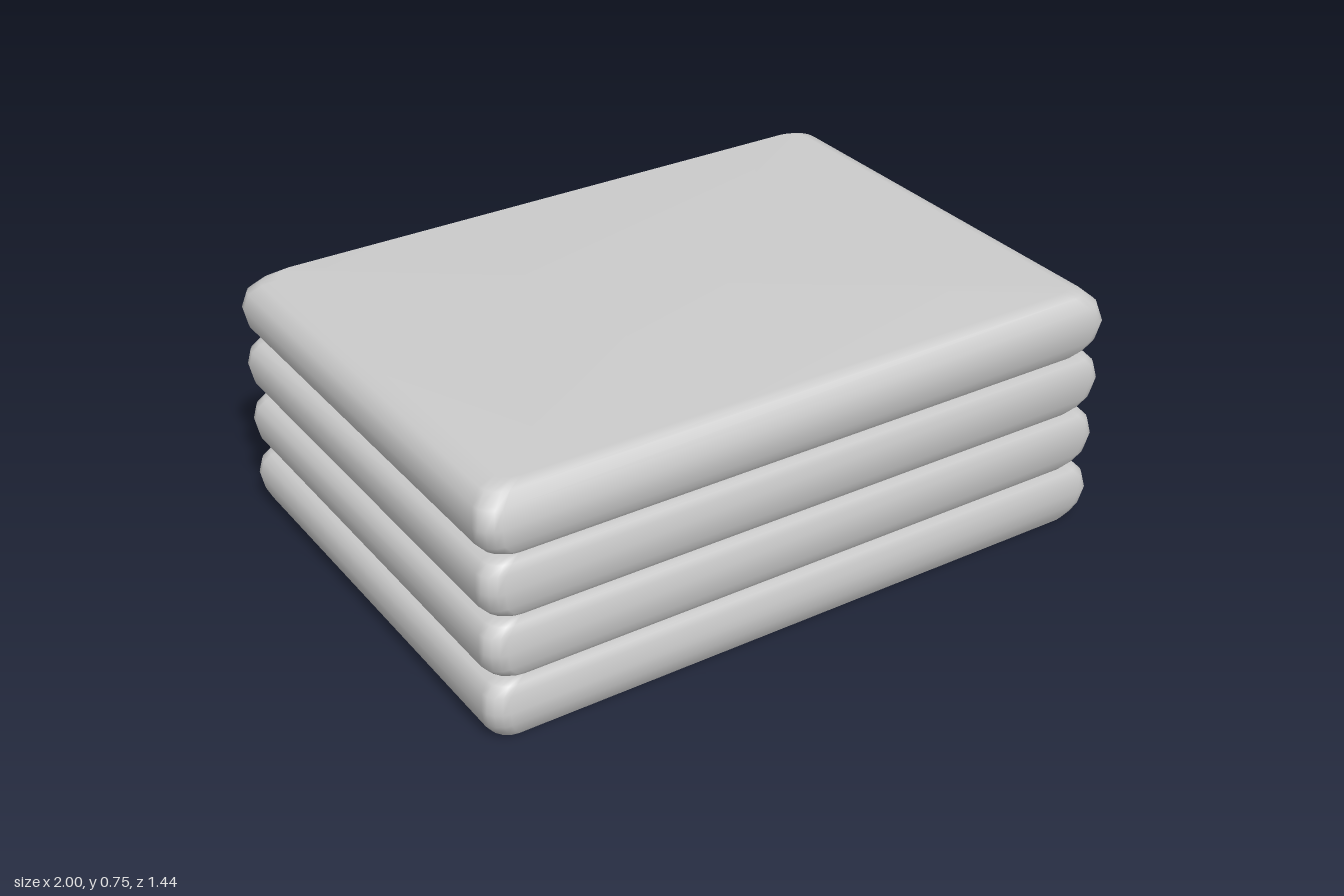
import * as THREE from 'three';

const HALF_X = 1, HALF_Z = 0.72, CORNER = 0.055, STEPS = 4, PITCH = 0.183;

// Profile of one slab, bottom to top: [height, inset in x, inset in z]
const bottomEdge = [[0, 0.04, 0.035], [0.025, 0.022, 0.02], [0.055, 0.008, 0.008]];
const seamBelow = [[0, 0.06, 0.032], [0.015, 0.035, 0.022], [0.045, 0.01, 0.01]];
const middle = [[0.1, 0, 0]];
const seamAbove = [[0.145, 0.008, 0.009], [0.168, 0.03, 0.018], [PITCH, 0.06, 0.032]];
const topEdge = [[0.15, 0.012, 0.015], [0.18, 0.045, 0.04], [0.197, 0.09, 0.062]];

// Outline of a rounded rectangle as [x, z] points
function outline(insetX, insetZ) {
  const points = [];
  const signs = [[1, 1], [-1, 1], [-1, -1], [1, -1]];
  signs.forEach(([sx, sz], q) => {
    for (let k = 0; k <= STEPS; k++) {
      const a = (q + k / STEPS) * Math.PI / 2;
      points.push([
        sx * (HALF_X - insetX - CORNER) + CORNER * Math.cos(a),
        sz * (HALF_Z - insetZ - CORNER) + CORNER * Math.sin(a),
      ]);
    }
  });
  return points;
}

// Loft the profile into a closed slab: smooth sides and top, crisp underside
function slabGeometry(profile) {
  const rings = [profile[0], ...profile]; // first ring belongs to the underside
  const n = 4 * (STEPS + 1);
  const positions = [], index = [];
  for (const [y, ix, iz] of rings) {
    for (const [x, z] of outline(ix, iz)) positions.push(x, y, z);
  }
  const bottom = rings.length * n, top = bottom + 1, last = (rings.length - 1) * n;
  positions.push(0, profile[0][0], 0, 0, profile.at(-1)[0], 0);
  for (let j = 0; j < n; j++) {
    const k = (j + 1) % n;
    index.push(bottom, j, k, top, last + k, last + j);
    for (let i = 1; i < rings.length - 1; i++) {
      const a = i * n + j, b = i * n + k;
      index.push(a, a + n, b, b, a + n, b + n);
    }
  }
  const geometry = new THREE.BufferGeometry();
  geometry.setAttribute('position', new THREE.Float32BufferAttribute(positions, 3));
  geometry.setIndex(index);
  geometry.computeVertexNormals();
  return geometry;
}

export function createModel() {
  const group = new THREE.Group();
  group.name = 'cushionStack';
  const material = new THREE.MeshStandardMaterial({ color: 0xcccccc });

  // Four padded slabs resting on each other
  for (let i = 0; i < 4; i++) {
    const profile = [
      ...(i === 0 ? bottomEdge : seamBelow),
      ...middle,
      ...(i === 3 ? topEdge : seamAbove),
    ];
    const slab = new THREE.Mesh(slabGeometry(profile), material);
    slab.name = `slab${i + 1}`;
    slab.position.y = i * PITCH;
    group.add(slab);
  }
  return group;
}
